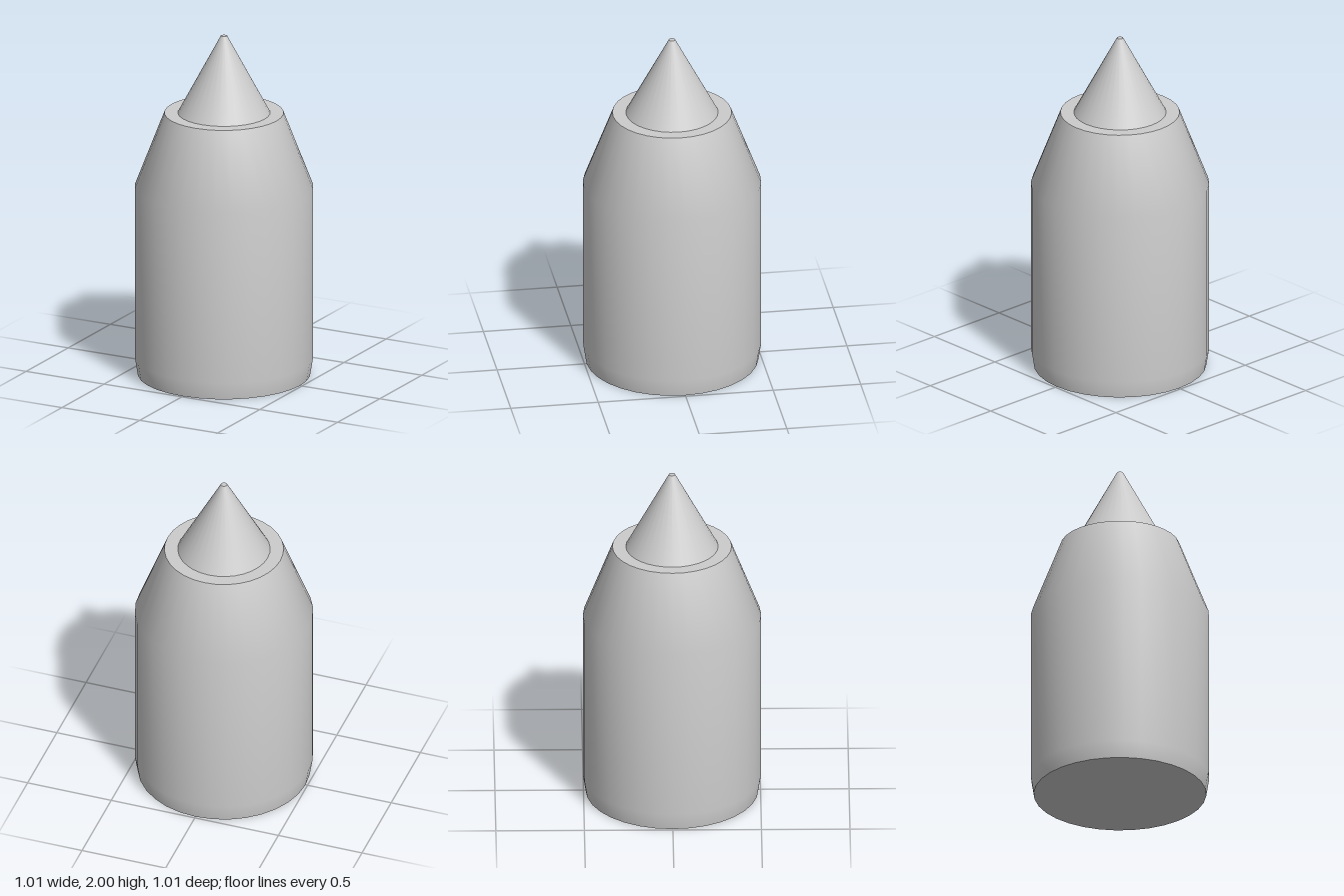
import * as THREE from 'three';

const SIDES = 32;
const material = new THREE.MeshStandardMaterial({ color: 0xcccccc });

// Surface of revolution through [radius, height] points, listed bottom to top
function turned(name, profile) {
  const points = profile.map(([r, y]) => new THREE.Vector2(r, y));
  const mesh = new THREE.Mesh(new THREE.LatheGeometry(points, SIDES), material);
  mesh.name = name;
  return mesh;
}

// Flat horizontal face, facing up (1) or down (-1)
function flat(name, geometry, y, facing) {
  const mesh = new THREE.Mesh(geometry.rotateX(-facing * Math.PI / 2), material);
  mesh.position.y = y;
  mesh.name = name;
  return mesh;
}

export function createModel() {
  const group = new THREE.Group();
  group.name = 'pointedCapsule';

  const baseR = 0.488, bodyR = 0.504, rimR = 0.337, coneR = 0.261, tipR = 0.018;
  const rimY = 1.545, tipY = 2;

  // Body: slightly tapered foot, straight wall and sloping shoulder
  group.add(turned('body', [[baseR, 0], [bodyR, 0.1], [bodyR, 1.11], [rimR, rimY]]));
  group.add(flat('base', new THREE.CircleGeometry(baseR, SIDES), 0, -1));

  // Flat ledge around the foot of the cone
  group.add(flat('shoulderLedge', new THREE.RingGeometry(coneR, rimR, SIDES), rimY, 1));

  // Nose cone with a tiny blunt tip
  group.add(turned('noseCone', [[coneR, rimY], [tipR, tipY]]));
  group.add(flat('noseTip', new THREE.CircleGeometry(tipR, SIDES), tipY, 1));

  return group;
}
